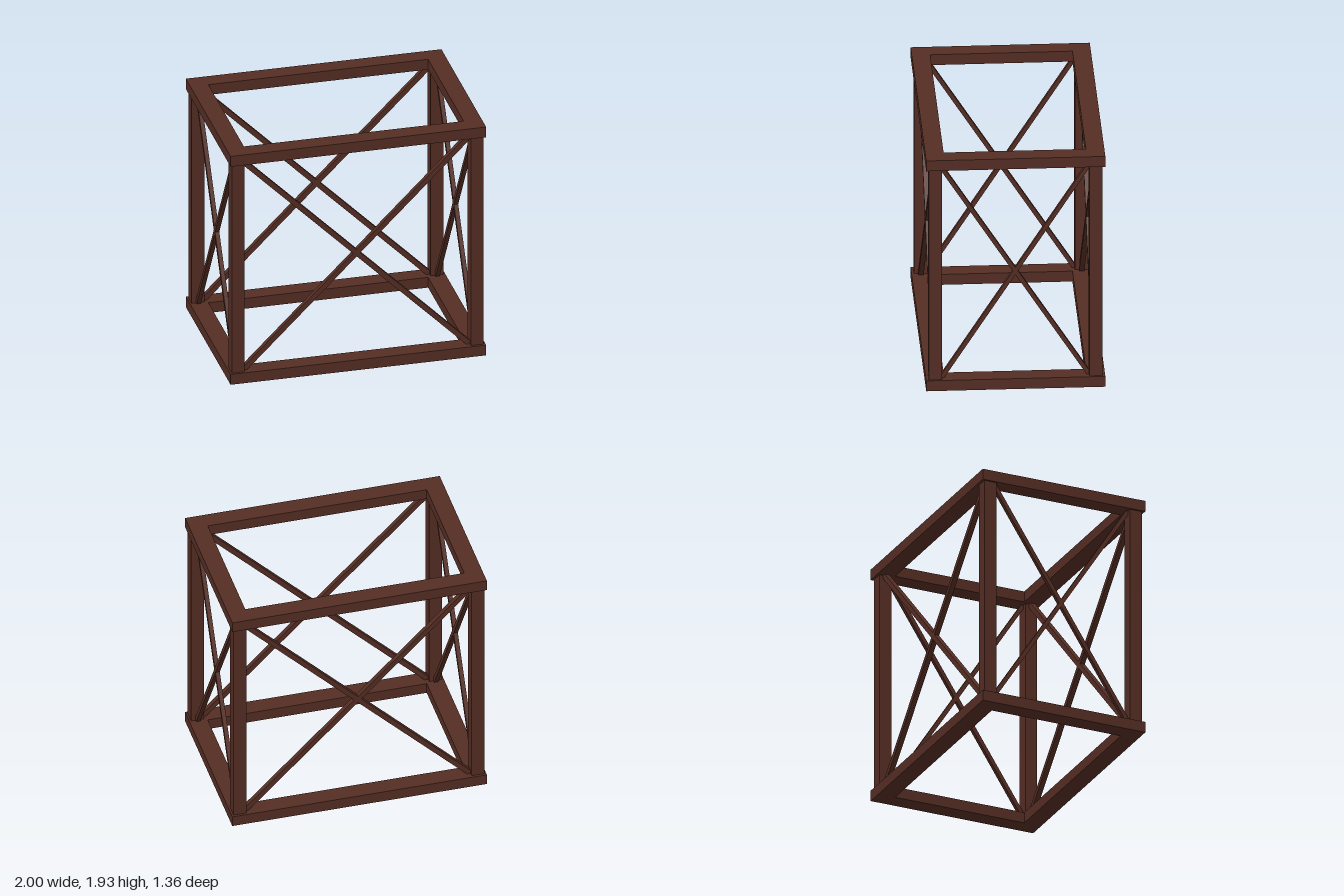
import * as THREE from 'three';

export function createModel() {
  const model = new THREE.Group();
  model.name = 'bracedFrame';
  const wood = new THREE.MeshStandardMaterial({ color: 0x542d23 });
  wood.name = 'dark brown wood';

  const W = 1, D = 0.68, H = 1.935;      // half width, half depth, height
  const beam = 0.14, beamH = 0.087;      // frame beam section
  const post = 0.1, px = 0.935, pz = 0.61;

  const add = (name, geometry, x, y, z) => {
    const mesh = new THREE.Mesh(geometry, wood);
    mesh.name = name;
    mesh.position.set(x, y, z);
    model.add(mesh);
    return mesh;
  };

  // rectangular rim with an open middle, used at top and bottom
  const rect = (S, w, d) => {
    const s = new S();
    s.moveTo(-w, -d).lineTo(w, -d).lineTo(w, d).lineTo(-w, d).closePath();
    return s;
  };
  const rim = rect(THREE.Shape, W, D);
  rim.holes.push(rect(THREE.Path, W - beam, D - beam));
  const rimGeometry = new THREE.ExtrudeGeometry(rim, { depth: beamH, bevelEnabled: false });
  rimGeometry.rotateX(-Math.PI / 2);
  add('bottomFrame', rimGeometry, 0, 0, 0);
  add('topFrame', rimGeometry, 0, H - beamH, 0);

  // corner posts
  const rise = H - 2 * beamH;
  const postGeometry = new THREE.BoxGeometry(post, rise, post);
  for (const x of [-px, px])
    for (const z of [-pz, pz]) add('cornerPost', postGeometry, x, H / 2, z);

  // crossed diagonal braces between the posts on all four sides
  const spanX = 2 * px - post, spanZ = 2 * pz - post;
  const longBrace = new THREE.BoxGeometry(Math.hypot(spanX, rise), 0.04, 0.04);
  const shortBrace = new THREE.BoxGeometry(0.033, 0.033, Math.hypot(spanZ, rise));
  for (const side of [-1, 1])
    for (const lean of [-1, 1]) {
      add(side > 0 ? 'frontBrace' : 'backBrace', longBrace, 0, H / 2, side * pz)
        .rotation.z = lean * Math.atan2(rise, spanX);
      add(side > 0 ? 'leftBrace' : 'rightBrace', shortBrace, side * px, H / 2, 0)
        .rotation.x = lean * Math.atan2(rise, spanZ);
    }
  return model;
}
